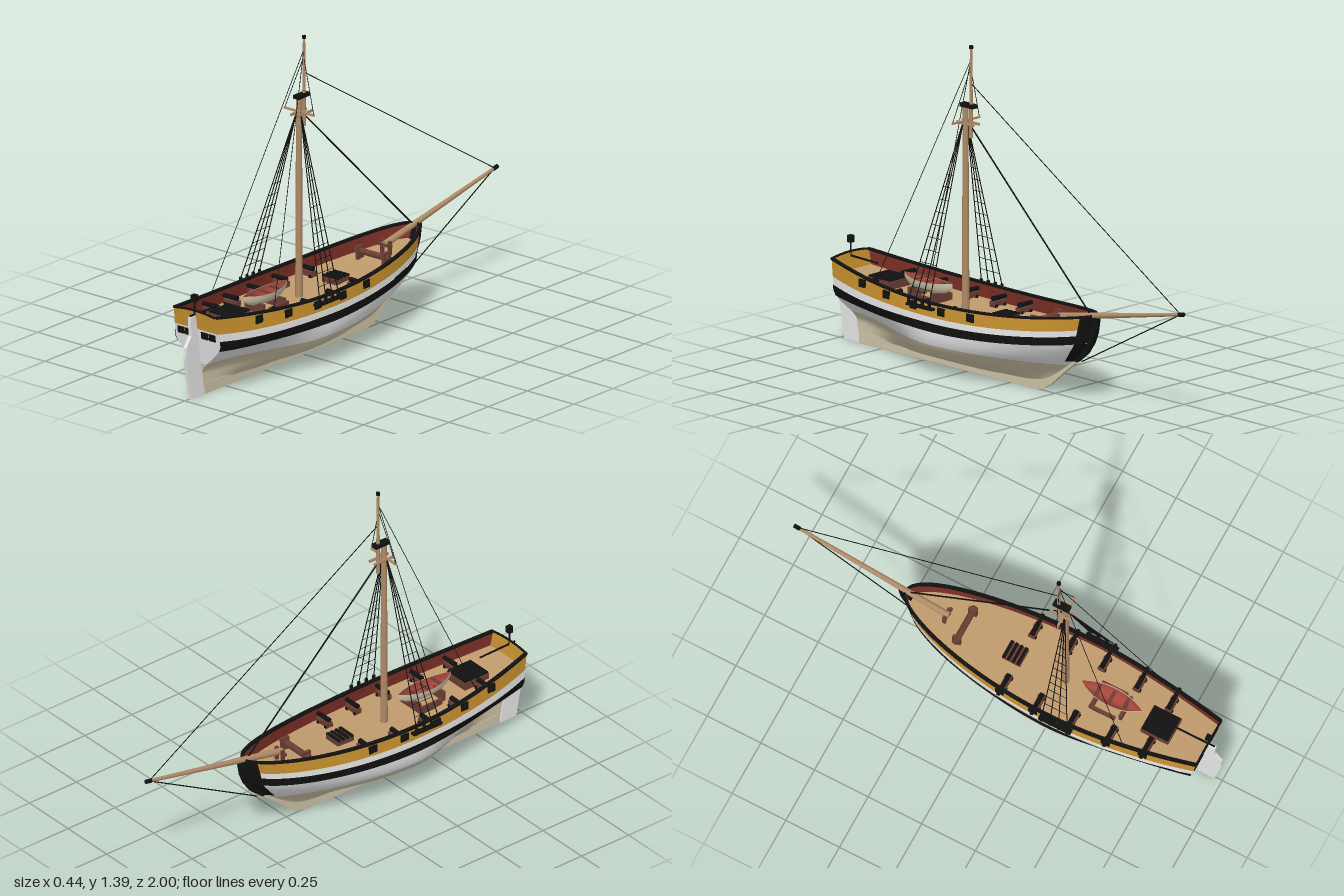
import * as THREE from 'three';

const mat = (name, color) => new THREE.MeshStandardMaterial({ name, color, side: THREE.DoubleSide });
const M = {
  black: mat('black paint', 0x111111), ochre: mat('ochre paint', 0xc9922f), white: mat('white paint', 0xe6e6e6),
  cream: mat('cream bottom', 0xcdc3a6), red: mat('bulwark red', 0x7d3026), deck: mat('deck planking', 0xbf9a6c),
  spar: mat('spar wood', 0xae8a66), brown: mat('dark timber', 0x6b3d33), boatRed: mat('boat red', 0xa8453a),
};
const { lerp, clamp, smoothstep } = THREE.MathUtils;
const V = (x, y, z) => new THREE.Vector3(x, y, z);

// Hull form: s runs from stem (0) to transom (1)
const zOf = s => lerp(-0.475, 0.935, s);
const sOf = z => (z + 0.475) / 1.41;
const rail = z => 0.321 + 0.105 * (z - 0.25) ** 2;
const deckY = z => rail(z) - 0.06;
const grow = z => 1 + 0.28 * smoothstep(z, 0.3, 0.93);
const level = d => z => rail(z) - d * grow(z);
const STEM = [[0.03, -0.16], [0.05, -0.225], [0.1, -0.285], [0.17, -0.375], [0.25, -0.445], [0.38, -0.478]];
function stemZ(y) {
  let i = 0;
  while (i < STEM.length - 2 && y > STEM[i + 1][0]) i++;
  const [a, b] = [STEM[i], STEM[i + 1]];
  return lerp(a[1], b[1], clamp((y - a[0]) / (b[0] - a[0]), 0, 1));
}
const sternZ = y => 0.877 + 0.16 * y;
function halfWidth(s, y) {
  const u = clamp((y - 0.03) / 0.2, 0, 1), bow = 1 - smoothstep(s, 0, 0.45);
  const q = Math.min(s / 0.55, 1);
  const plan = s < 0.55 ? 0.199 * (1 - (1 - q) ** 2) ** (0.53 + 0.45 * (1 - u))
    : 0.199 - 0.08 * ((s - 0.55) / 0.45) ** 1.8;
  const mid = 1 - (1 - u) ** (3.5 - 1.5 * bow);
  const aft = smoothstep((y - 0.03) / 0.22, 0.25, 1);
  const f = lerp(mid, aft, smoothstep(s, 0.5, 1)) * (1 - 0.5 * Math.max(0, y - 0.25));
  return Math.max(0.006, plan * f);
}
const hullPoint = (s, y, side = 1, out = 0) =>
  V(side * Math.max(0, halfWidth(s, y) + out), y, lerp(stemZ(y), sternZ(y), s));

export function createModel() {
  const ship = new THREE.Group();
  ship.name = 'ship';
  const add = (name, geo, m, x = 0, y = 0, z = 0) => {
    const mesh = new THREE.Mesh(geo, m);
    mesh.name = name;
    mesh.position.set(x, y, z);
    ship.add(mesh);
    return mesh;
  };
  const box = (name, m, w, h, d, x, y, z) => add(name, new THREE.BoxGeometry(w, h, d), m, x, y, z);
  const rod = (name, m, a, b, r0, r1 = r0, n = 5) => {
    const mesh = add(name, new THREE.CylinderGeometry(r1, r0, a.distanceTo(b), n), m);
    mesh.position.copy(a).lerp(b, 0.5);
    mesh.quaternion.setFromUnitVectors(V(0, 1, 0), b.clone().sub(a).normalize());
    return mesh;
  };
  // Surface swept over a grid of points
  const surface = (name, m, nu, nv, fn, flip = false, flat = false) => {
    const pos = [], idx = [];
    for (let i = 0; i <= nu; i++) for (let j = 0; j <= nv; j++) pos.push(...fn(i / nu, j / nv).toArray());
    for (let i = 0; i < nu; i++) for (let j = 0; j < nv; j++) {
      const a = i * (nv + 1) + j, b = a + 1, c = a + nv + 1, d = c + 1;
      if (flip) idx.push(a, b, c, b, d, c); else idx.push(a, c, b, b, c, d);
    }
    let g = new THREE.BufferGeometry();
    g.setAttribute('position', new THREE.Float32BufferAttribute(pos, 3));
    g.setIndex(idx);
    if (flat) g = g.toNonIndexed();
    g.computeVertexNormals();
    return add(name, g, m);
  };
  // Flat plate on the centreline, outlined in (z, y)
  const plate = (name, m, pts, t) => {
    const g = new THREE.ExtrudeGeometry(new THREE.Shape(pts.map(p => new THREE.Vector2(...p))), { depth: t, bevelEnabled: false });
    g.rotateY(-Math.PI / 2).translate(t / 2, 0, 0);
    return add(name, g, m);
  };

  // Hull planking in painted bands, and the transom closing them
  const water = () => 0.143;
  const bands = [
    ['bottomPlanking', M.cream, () => 0.025, water, 12, 0],
    ['topsides', M.white, water, level(0.117), 6, 0],
    ['wale', M.black, level(0.117), level(0.08), 2, 0.003],
    ['upperStrake', M.white, level(0.08), level(0.055), 2, 0],
    ['bulwark', M.ochre, level(0.055), rail, 3, 0],
  ];
  for (const [name, m, lo, hi, rows, out] of bands) {
    for (const side of [1, -1]) surface(name, m, 48, rows, (t, v) => {
      const s = t ** 1.7, z = zOf(s);
      return hullPoint(s, lerp(lo(z), hi(z), v), side, out);
    }, side > 0);
    const top = name === 'bulwark';
    surface('transom', m === M.black ? M.white : m, 12, rows, (t, v) => {
      const q = 2 * t - 1, y = lerp(lo(0.935), hi(0.935), v);
      const p = hullPoint(1, y);
      return V(p.x * q, y + (top ? v * 0.01 * (1 - q * q) : 0), p.z);
    });
  }
  for (const side of [1, -1]) {
    surface('bowFacing', M.black, 6, 8, (t, v) => {
      const s = 0.022 * t * t;
      return hullPoint(s, lerp(0.165, rail(zOf(s)), v), side, 0.003);
    }, side > 0);
    surface('bulwarkLining', M.red, 48, 2, (t, v) => {
      const s = 0.003 + 0.995 * t ** 1.7, z = zOf(s);
      return hullPoint(s, lerp(deckY(z) - 0.005, rail(z), v), side, -0.009);
    }, side < 0);
    surface('capRail', M.black, 48, 4, (t, v) => {
      const s = t ** 1.7, k = Math.round(v * 4) % 4, p = hullPoint(s, rail(zOf(s)), side, k === 1 || k === 2 ? -0.011 : 0.005);
      p.y += k < 2 ? -0.002 : 0.007;
      return p;
    }, side > 0, true);
  }
  const tw = halfWidth(1, rail(0.935));
  const crown = [-1, -0.5, 0, 0.5, 1].map(q => V(q * tw, rail(0.935) + 0.003 + 0.01 * (1 - q * q), 0.937));
  add('transomCap', new THREE.TubeGeometry(new THREE.CatmullRomCurve3(crown), 12, 0.005, 5), M.black);
  surface('deck', M.deck, 40, 4, (t, v) => {
    const s = 0.003 + 0.995 * t ** 1.7, p = hullPoint(s, deckY(zOf(s)), 1, -0.004);
    p.x *= 2 * v - 1;
    return p;
  }, true);

  // Keel, stem, rudder and stern windows
  plate('keel', M.cream, [[0.88, 0.005], [0.88, 0.05], [-0.15, 0.05], [-0.25, 0.1], [-0.36, 0.17], [-0.39, 0.17],
    [-0.31, 0.107], [-0.235, 0.043], [-0.19, 0.015], [-0.145, 0.005]], 0.016);
  plate('stem', M.black, [[-0.35, 0.165], [-0.385, 0.165], [-0.44, 0.21], [-0.475, 0.26], [-0.495, 0.31], [-0.505, 0.372],
    [-0.47, 0.378], [-0.44, 0.3], [-0.4, 0.22]], 0.02);
  plate('rudder', M.white, [[0.882, 0.005], [0.967, 0.005], [1, 0.19], [0.998, 0.235], [0.966, 0.28], [0.97, 0.362],
    [0.938, 0.362]], 0.016);
  for (const x of [-0.083, -0.043, 0.043, 0.083]) {
    box('sternWindow', M.black, 0.034, 0.03, 0.006, x, 0.277, sternZ(0.277) + 0.002).rotation.x = 0.16;
  }
  rod('tiller', M.black, V(0, 0.366, 0.965), V(0, 0.362, 0.78), 0.005, 0.004);
  rod('lanternPost', M.black, V(0, 0.37, 0.937), V(0, 0.44, 0.937), 0.004);
  box('lantern', M.black, 0.022, 0.03, 0.022, 0, 0.437, 0.937);

  // Guns, ports and carriages
  for (const z of [0.06, 0.22, 0.38, 0.55, 0.71]) for (const side of [1, -1]) {
    const y = deckY(z) + 0.036, w = halfWidth(sOf(z), y);
    box('gunPort', M.black, 0.008, 0.034, 0.04, side * w, y, z);
    rod('gunBarrel', M.black, V(side * (w - 0.085), y, z), V(side * (w + 0.016), y, z), 0.011, 0.008, 10);
    box('gunCarriage', M.brown, 0.07, 0.022, 0.028, side * (w - 0.055), y - 0.021, z);
    for (const dx of [0.03, 0.08]) box('carriageAxle', M.black, 0.012, 0.012, 0.036, side * (w - dx), y - 0.03, z);
  }

  // Hatches, windlass and bitts
  box('aftHatchCoaming', M.brown, 0.12, 0.035, 0.128, 0, deckY(0.715) + 0.016, 0.715);
  box('aftHatchCover', M.black, 0.114, 0.008, 0.122, 0, deckY(0.715) + 0.037, 0.715);
  box('foreHatchCoaming', M.brown, 0.078, 0.024, 0.084, 0, deckY(0.035) + 0.011, 0.035);
  for (let i = 0; i < 4; i++) box('foreHatchBar', M.black, 0.082, 0.008, 0.013, 0, deckY(0.035) + 0.025, 0.002 + i * 0.022);
  const wy = deckY(-0.2);
  rod('windlassBarrel', M.brown, V(-0.09, wy + 0.035, -0.2), V(0.09, wy + 0.035, -0.2), 0.014, 0.014, 8);
  for (const x of [-0.07, 0.07]) box('windlassPost', M.brown, 0.014, 0.06, 0.038, x, wy + 0.028, -0.2);
  const by = deckY(-0.285);
  for (const x of [-0.02, 0.02]) box('bitt', M.brown, 0.012, 0.065, 0.014, x, by + 0.03, -0.285);
  box('bittCrossbar', M.brown, 0.07, 0.012, 0.012, 0, by + 0.045, -0.28);

  // Ship's boat on its chocks
  const boatPoint = (t, v, inset) => {
    const q = 2 * t - 1, a = (v - 0.5) * Math.PI, b = (0.041 - inset) * (1 - Math.abs(q) ** 2.2);
    return V(b * Math.sin(a), 0.347 + 0.01 * q * q - (0.05 - inset) * Math.cos(a) * (1 - 0.6 * q ** 4), 0.485 + 0.14 * q);
  };
  surface('boatHull', M.cream, 20, 12, (t, v) => boatPoint(t, v, 0));
  surface('boatLining', M.boatRed, 20, 12, (t, v) => boatPoint(t, v, 0.004), true);
  for (const z of [0.42, 0.485, 0.55]) box('boatThwart', M.brown, 0.06, 0.005, 0.014, 0, 0.341, z);
  for (const z of [0.42, 0.55]) box('boatChock', M.brown, 0.1, 0.045, 0.014, 0, deckY(z) + 0.02, z);
  for (const x of [-0.058, 0.058]) box('boatSkid', M.brown, 0.01, 0.03, 0.12, x, deckY(0.46) + 0.015, 0.47);

  // Mast, topmast and bowsprit
  rod('mast', M.spar, V(0, 0.25, 0.27), V(0, 1.14, 0.27), 0.016, 0.012, 14);
  rod('topmast', M.spar, V(0, 1.0, 0.238), V(0, 1.39, 0.238), 0.009, 0.005, 10);
  rod('topmastTruck', M.black, V(0, 1.38, 0.238), V(0, 1.392, 0.238), 0.009, 0.009, 10);
  box('mastCap', M.black, 0.03, 0.016, 0.074, 0, 1.135, 0.253);
  box('crosstree', M.spar, 0.16, 0.007, 0.01, 0, 1.068, 0.268);
  for (const x of [-0.016, 0.016]) box('trestletree', M.spar, 0.008, 0.01, 0.1, x, 1.06, 0.255);
  rod('bowsprit', M.spar, V(0, 0.338, -0.275), V(0, 0.481, -0.985), 0.015, 0.007, 12);
  rod('bowspritTip', M.black, V(0, 0.477, -0.968), V(0, 0.483, -0.997), 0.009, 0.009, 10);

  // Stays along the centreline
  rod('forestay', M.black, V(0, 1.06, 0.25), V(0, 0.385, -0.45), 0.0035);
  rod('topmastStay', M.black, V(0, 1.23, 0.235), V(0, 0.485, -0.97), 0.002);
  rod('bobstay', M.black, V(0, 0.472, -0.965), V(0, 0.17, -0.405), 0.0025);

  // Shrouds with ratlines, channels, backstays and topmast shrouds
  for (const side of [1, -1]) {
    const head = V(side * 0.01, 1.07, 0.272);
    const feet = [0.27, 0.31, 0.35, 0.39].map(z => V(side * 0.212, 0.325, z));
    box('channel', M.black, 0.03, 0.01, 0.15, side * 0.2, 0.303, 0.33);
    for (const f of feet) {
      rod('shroud', M.black, f, head, 0.0022);
      rod('deadeye', M.black, V(f.x, 0.3, f.z), V(f.x, 0.33, f.z), 0.007, 0.007, 8);
    }
    for (let i = 1; i < 13; i++) {
      const t = i * 0.07;
      rod('ratline', M.black, feet[0].clone().lerp(head, t), feet[3].clone().lerp(head, t), 0.0013, 0.0013, 4);
    }
    rod('backstay', M.black, V(0, 1.33, 0.24), V(side * 0.168, 0.335, 0.63), 0.0015);
    rod('topmastShroud', M.black, V(0, 1.3, 0.24), V(side * 0.078, 1.07, 0.268), 0.0015);
  }
  return ship;
}
